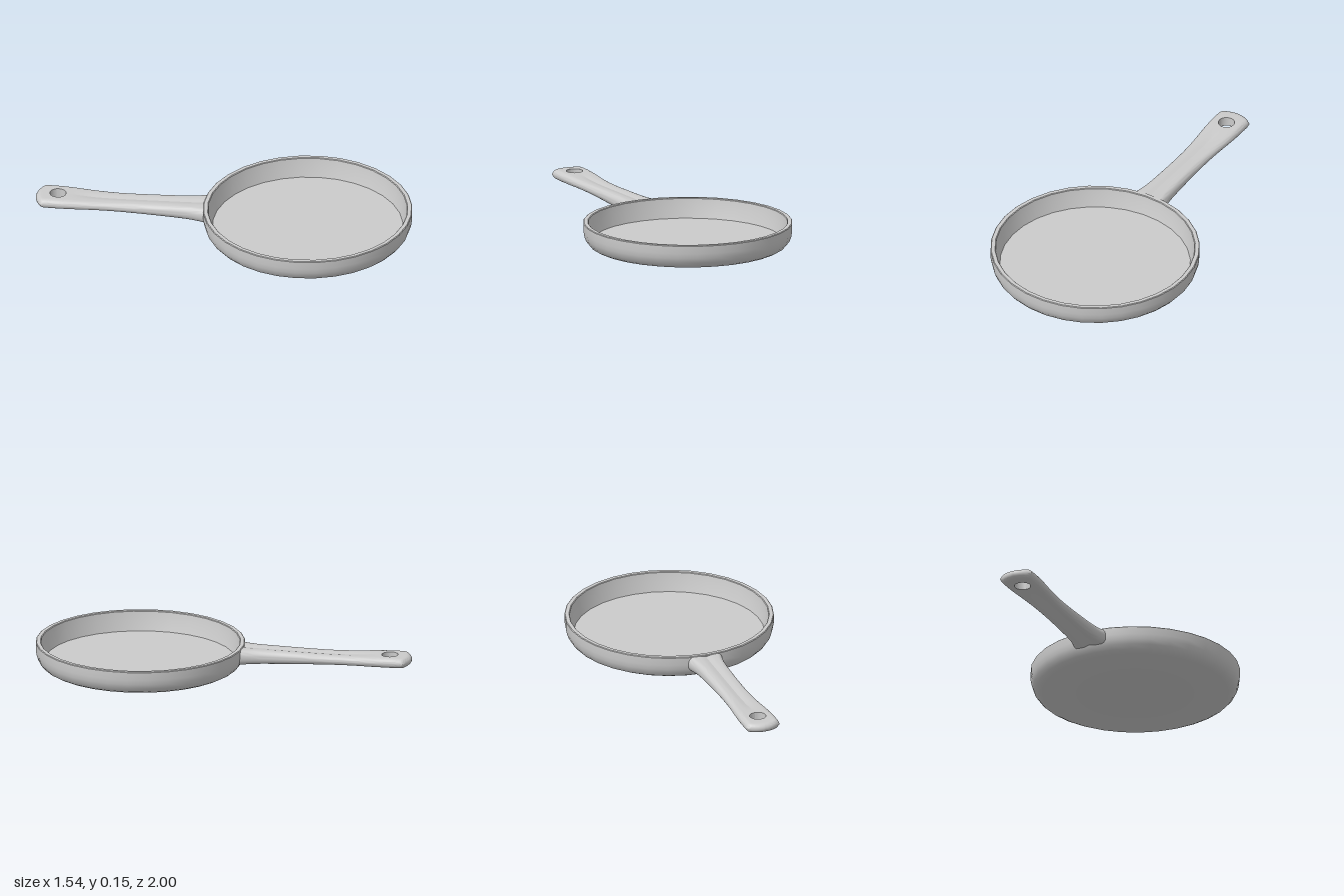
import * as THREE from 'three';
import { toCreasedNormals } from 'three/addons/utils/BufferGeometryUtils.js';

const TIP = 1.61, HOLE = 1.48, HOLE_R = 0.048;
const smooth = THREE.MathUtils.smoothstep;

// Handle stations: distance from pan centre, half width, underside, top
const keys = [
  [0.6, 0.108, 0.055, 0.146], [0.7, 0.09, 0.06, 0.142], [0.9, 0.082, 0.066, 0.136],
  [1.1, 0.081, 0.072, 0.13], [1.25, 0.088, 0.076, 0.129], [1.4, 0.1, 0.077, 0.133],
  [1.5, 0.103, 0.077, 0.135], [TIP, 0.103, 0.079, 0.132],
];
const curve = (col) => {
  const pts = keys.map((k) => new THREE.Vector2(k[0], k[col]));
  const spline = new THREE.SplineCurve(pts).getPoints(140);
  return (s) => {
    let i = 1;
    while (i < spline.length - 1 && spline[i].x < s) i++;
    const a = spline[i - 1], b = spline[i];
    return a.y + (b.y - a.y) * THREE.MathUtils.clamp((s - a.x) / (b.x - a.x), 0, 1);
  };
};

// One half of the handle, swept along its length; the inner edge opens around the hole
function handleHalf(side) {
  const width = curve(1), under = curve(2), over = curve(3);
  const stations = [];
  for (let i = 0; i < 20; i++) stations.push(0.6 + (HOLE - HOLE_R - 0.6) * i / 20);
  for (let i = 0; i <= 16; i++) stations.push(HOLE - HOLE_R * Math.cos(Math.PI * i / 16));
  for (let i = 1; i <= 8; i++) stations.push(HOLE + HOLE_R + (TIP - HOLE - HOLE_R) * Math.sin(Math.PI / 2 * i / 8));

  const n = 12, pos = [], idx = [], opening = [];
  for (const s of stations) {
    const w = width(s), lo = under(s), hi = over(s), mid = (lo + hi) / 2;
    const open = Math.sqrt(Math.max(0, HOLE_R ** 2 - (s - HOLE) ** 2));
    opening.push(open > 1e-6);
    // rounded nose at the tip
    const e = THREE.MathUtils.clamp((TIP - s) / 0.03, 0, 1);
    const nose = Math.sqrt(1 - (1 - e) ** 2);
    const groove = 0.006 * (1 - smooth(s, 1.25, 1.43));
    const bulge = 0.04 * smooth(s, 1.53, TIP);
    for (let j = 0; j <= 2 * n; j++) {
      const k = j <= n ? j : 2 * n - j, sign = j <= n ? 1 : -1;
      const x = open + (w - open) * Math.sin(Math.PI / 2 * k / n);
      const d = THREE.MathUtils.clamp((w - x) / 0.03, 0, 1);
      const round = Math.sqrt(1 - (1 - d) ** 2);
      const h = ((hi - lo) / 2 - groove * Math.max(0, 1 - x / 0.03)) * round * nose;
      pos.push(side * x, mid + sign * h, -(s - bulge * (x / w) ** 2));
    }
  }
  const row = 2 * n + 1;
  const quad = (a, b, c, d) => (side > 0 ? idx.push(a, b, c, a, c, d) : idx.push(a, c, b, a, d, c));
  for (let i = 0; i < stations.length - 1; i++) {
    const p = i * row, q = p + row;
    for (let j = 0; j < 2 * n; j++) quad(p + j, p + j + 1, q + j + 1, q + j);
    // wall of the hanging hole
    if (opening[i] || opening[i + 1]) quad(p + 2 * n, p, q, q + 2 * n);
  }
  const g = new THREE.BufferGeometry();
  g.setAttribute('position', new THREE.Float32BufferAttribute(pos, 3));
  g.setIndex(idx);
  return toCreasedNormals(g, 0.7);
}

export function createModel() {
  const model = new THREE.Group();
  model.name = 'fryingPan';
  const metal = new THREE.MeshStandardMaterial({ color: 0xcccccc });

  // Pan body: underside, curved outer wall, rim, inner wall, cooking floor
  const profile = [
    [0, 0], [0.53, 0], [0.555, 0.005], [0.58, 0.018], [0.6, 0.042], [0.61, 0.07], [0.615, 0.1],
    [0.615, 0.146], [0.611, 0.15], [0.589, 0.15], [0.585, 0.146], [0.578, 0.1], [0.56, 0.033], [0, 0.033],
  ].map(([x, y]) => new THREE.Vector2(x, y));
  const body = new THREE.Mesh(toCreasedNormals(new THREE.LatheGeometry(profile, 32), 0.6), metal);
  body.name = 'panBody';
  model.add(body);

  // Handle, pointing back and to the model's right
  const handle = new THREE.Group();
  handle.name = 'handle';
  for (const side of [-1, 1]) {
    const half = new THREE.Mesh(handleHalf(side), metal);
    half.name = side > 0 ? 'handleLeftHalf' : 'handleRightHalf';
    handle.add(half);
  }
  handle.rotation.y = Math.atan2(0.537, 0.844);
  model.add(handle);

  model.position.set(0.157, 0, 0.383);
  const root = new THREE.Group();
  root.add(model);
  return root;
}
